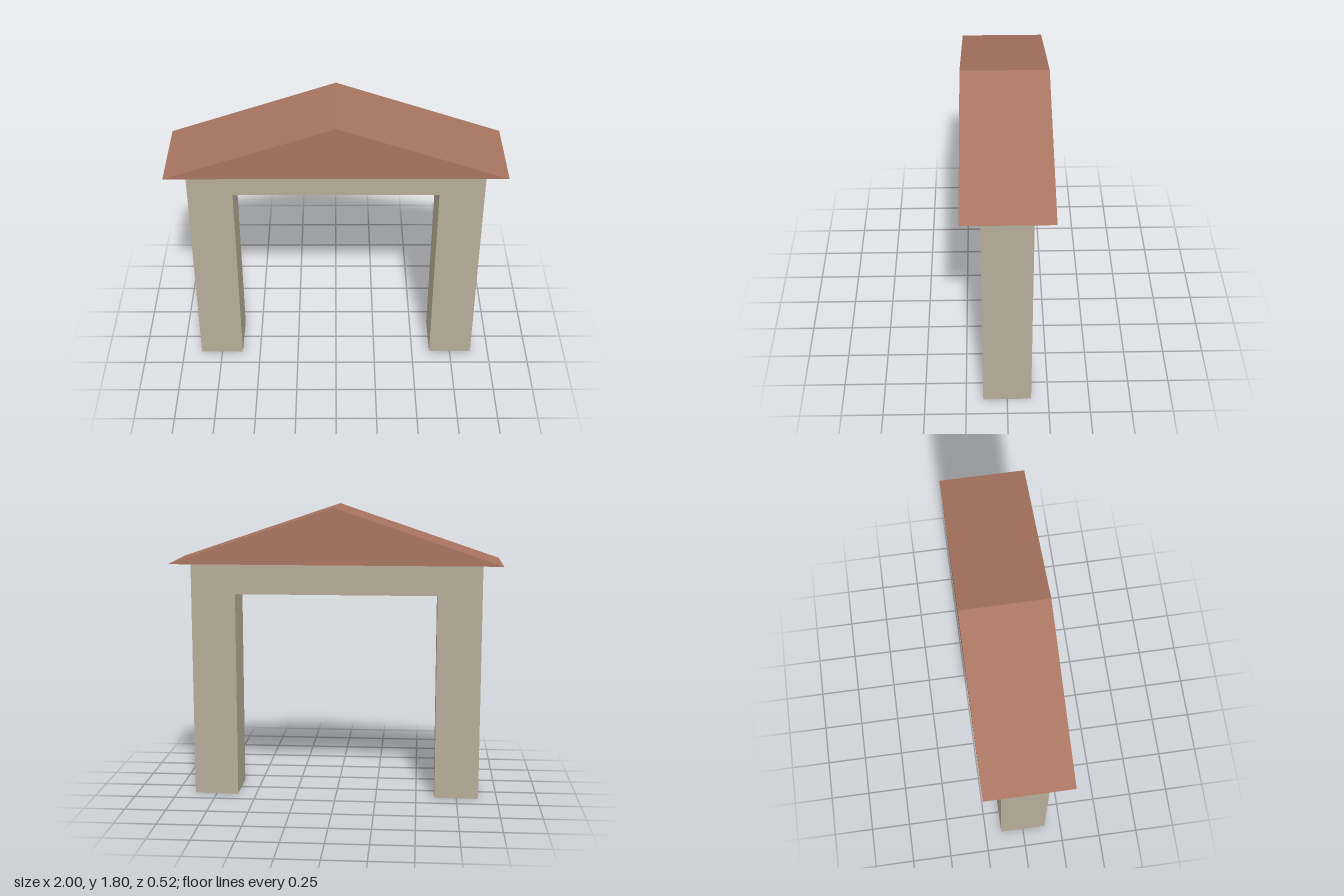
import * as THREE from 'three';

// Extrude a closed outline along z, centred on z = 0
function slab(name, points, depth, material) {
  const shape = new THREE.Shape(points.map(([x, y]) => new THREE.Vector2(x, y)));
  const geometry = new THREE.ExtrudeGeometry(shape, { depth, bevelEnabled: false });
  geometry.translate(0, 0, -depth / 2);
  const mesh = new THREE.Mesh(geometry, material);
  mesh.name = name;
  return mesh;
}

export function createModel() {
  const stone = new THREE.MeshStandardMaterial({ color: 0xb6ad98 });
  stone.name = 'stone';
  const tile = new THREE.MeshStandardMaterial({ color: 0xa87560 });
  tile.name = 'roofTile';

  const outer = 0.885, inner = 0.615, lintel = 1.265, eaves = 1.458, ridge = 1.796;
  const group = new THREE.Group();
  group.name = 'gateway';

  // Two posts joined by a lintel
  group.add(slab('archFrame', [
    [-outer, 0], [-inner, 0], [-inner, lintel], [inner, lintel],
    [inner, 0], [outer, 0], [outer, eaves], [-outer, eaves],
  ], 0.292, stone));

  // Overhanging gable roof
  group.add(slab('gableRoof', [[-1, eaves], [1, eaves], [0, ridge]], 0.52, tile));

  return group;
}
